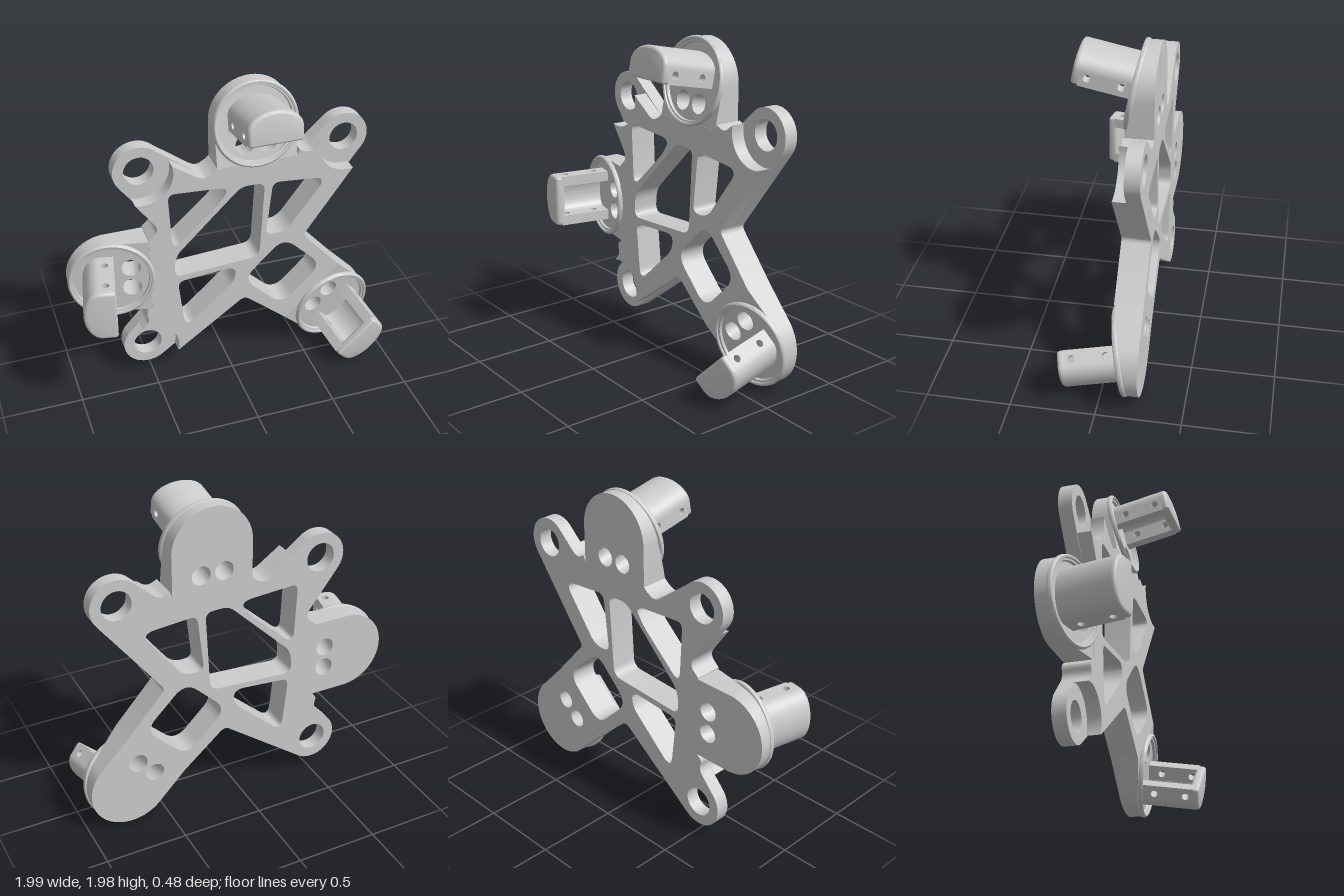
import * as THREE from 'three';
import { toCreasedNormals } from 'three/addons/utils/BufferGeometryUtils.js';

const material = new THREE.MeshStandardMaterial({ color: 0xcccccc });
const TILT = 0.2, SLOPE = Math.tan(TILT);
const BACK = -0.24, STEP = -0.155, FRONT = -0.07;

function mesh(name, geometry, crease = 0.6) {
  const m = new THREE.Mesh(toCreasedNormals(geometry, crease), material);
  m.name = name;
  return m;
}

// closed outline from [x, y, cornerRadius] points
function rounded(points, Type = THREE.Shape) {
  const path = new Type(), n = points.length;
  points.forEach(([x, y, r = 0], i) => {
    const p = new THREE.Vector2(x, y);
    const toward = (q) => {
      const d = new THREE.Vector2(q[0], q[1]).sub(p), l = d.length();
      return p.clone().addScaledVector(d, Math.min(r, l * 0.48) / l);
    };
    const a = toward(points[(i + n - 1) % n]), b = toward(points[(i + 1) % n]);
    if (i === 0) path.moveTo(a.x, a.y); else path.lineTo(a.x, a.y);
    if (r > 0) path.quadraticCurveTo(x, y, b.x, b.y);
  });
  path.closePath();
  return path;
}

// points along an arc, angles in degrees
function arc([cx, cy], r, from, to, steps = 20) {
  return Array.from({ length: steps + 1 }, (_, i) => {
    const a = THREE.MathUtils.degToRad(from + (to - from) * i / steps);
    return [cx + r * Math.cos(a), cy + r * Math.sin(a)];
  });
}

function circle(x, y, r) {
  return new THREE.Path().absarc(x, y, r, 0, Math.PI * 2, true);
}

function extrude(shape, z0, z1, options = {}) {
  const g = new THREE.ExtrudeGeometry(shape, { depth: z1 - z0, bevelEnabled: false, curveSegments: 20, ...options });
  return g.translate(0, 0, z0);
}

const ears = [[-0.52, 1.52], [0.76, 1.52], [-0.52, 0.24]];

// weight-saving openings
const windows = () => [
  [[-0.375, 1.38, 0.05], [0.01, 1.355, 0.09], [-0.06, 1.25, 0.05], [-0.355, 0.98, 0.08]],
  [[0.08, 1.345, 0.05], [0.228, 1.34, 0.05], [0.2, 0.81, 0.06], [-0.35, 0.775, 0.06], [-0.34, 0.93, 0.06]],
  [[0.28, 1.335, 0.05], [0.63, 1.305, 0.09], [0.37, 0.96, 0.07], [0.24, 0.96, 0.05]],
  [[-0.33, 0.735, 0.05], [0.045, 0.765, 0.07], [0.04, 0.66, 0.06], [-0.29, 0.36, 0.09]],
  [[0.36, 0.91, 0.1], [0.625, 0.65, 0.1], [0.36, 0.39, 0.1], [0.095, 0.65, 0.1]],
].map((p) => rounded(p, THREE.Path));

// plate outline; the ear borders are supplied by the caller
function plateShape(ear1, ear3, ear2) {
  const shape = rounded([
    [0.43, 1.495], [-0.07, 1.495], [-0.1, 1.47, 0.02], [-0.16, 1.44, 0.06],
    ...ear1,
    [-0.43, 1.145, 0.06], [-0.5, 1.08], [-0.5, 0.57],
    [-0.54, 0.54, 0.03], [-0.52, 0.47, 0.04],
    ...ear3,
    [0.105, 0.515, 0.04], [0.384, 0.275], [0.744, 0.62], [0.49, 0.905, 0.03],
    ...ear2,
    [0.51, 1.5, 0.05], [0.445, 1.53],
  ]);
  shape.holes.push(...windows());
  return shape;
}

// D-shaped post with a hollow inner side, a closed tip and pin holes
function createPost() {
  const post = new THREE.Group();
  post.name = 'post';
  const w = 0.165, inner = -0.02, mid = 0.07, top = 0.305;

  const tip = new THREE.Shape();
  tip.moveTo(w, mid);
  tip.absellipse(0, mid, w, 0.105, 0, Math.PI, false);
  tip.lineTo(-w, inner + 0.02);
  tip.quadraticCurveTo(-w, inner, -w + 0.02, inner);
  tip.lineTo(w - 0.02, inner);
  tip.quadraticCurveTo(w, inner, w, inner + 0.02);
  post.add(mesh('postTip', extrude(tip, 0.305, 0.325,
    { bevelEnabled: true, bevelSize: 0.02, bevelOffset: -0.02, bevelThickness: 0.02, bevelSegments: 4 })));

  const back = new THREE.Shape();
  back.moveTo(w, mid);
  back.absellipse(0, mid, w, 0.105, 0, Math.PI, false);
  back.lineTo(-0.1, mid);
  back.absellipse(0, mid, 0.1, 0.05, Math.PI, 0, true);
  post.add(mesh('postBack', extrude(back, -0.03, top)));

  const turn = new THREE.Matrix4().makeBasis(
    new THREE.Vector3(0, 1, 0), new THREE.Vector3(0, 0, 1), new THREE.Vector3(1, 0, 0));
  for (const v of [-w, 0.1]) {
    const wall = rounded([[inner, -0.03], [mid, -0.03], [mid, top], [inner, top]]);
    wall.holes.push(circle(0.035, 0.065, 0.022), circle(0.035, 0.26, 0.022));
    post.add(mesh('postWall', extrude(wall, v, v + w - 0.1).applyMatrix4(turn)));
  }
  return post;
}

// tilted socket: local +y points away from the plate
function createPod(x, y, angle) {
  const pod = new THREE.Group();
  pod.name = 'pod';
  pod.position.set(x, y, 0);
  pod.rotation.z = angle;

  // wedge-shaped base with two sheared through holes
  const r = 0.25, u0 = -0.135;
  const lobe = new THREE.Shape();
  lobe.moveTo(-r, -0.245);
  lobe.lineTo(r, -0.245);
  lobe.absarc(0, 0, r, 0, Math.PI, false);
  for (const v of [-0.072, 0.072]) lobe.holes.push(circle(v, u0, 0.058));
  const base = extrude(lobe, BACK, FRONT, { curveSegments: 32 });
  const p = base.attributes.position;
  for (let i = 0; i < p.count; i++) {
    const u = p.getY(i), isFront = p.getZ(i) > STEP;
    const inHole = Math.hypot(Math.abs(p.getX(i)) - 0.072, u - u0) < 0.06;
    const y2 = inHole ? u + (isFront ? 0.012 : -0.018) : u;
    p.setY(i, y2);
    if (isFront) p.setZ(i, -0.12 - y2 * SLOPE);
  }
  pod.add(mesh('podBase', base));

  // raised rim and post share the tilt
  const head = new THREE.Group();
  head.name = 'podHead';
  head.position.z = -0.1;
  head.rotation.x = -TILT;
  const profile = [[0.225, -0.025], [0.23, -0.004], [0.242, -0.002], [0.244, 0.008], [0.254, 0.01],
    [0.262, 0.004], [0.265, -0.006], [0.262, -0.018], [0.25, -0.026], [0.225, -0.025]];
  const rim = new THREE.LatheGeometry(profile.map(([a, b]) => new THREE.Vector2(a, -b)), 64);
  rim.rotateX(-Math.PI / 2);
  head.add(mesh('podRim', rim, 0.7));
  head.children[0].material = material.clone();
  head.children[0].material.side = THREE.DoubleSide;
  head.add(createPost());
  pod.add(head);
  return pod;
}

export function createModel() {
  const model = new THREE.Group();
  model.name = 'bracket';

  // thin back layer with the three mounting ears
  const R = 0.155;
  const baseShape = plateShape(
    arc(ears[0], R, 45, 218), arc(ears[2], R, 142, 307), arc(ears[1], R, -38, 137));
  for (const [x, y] of ears) baseShape.holes.push(circle(x, y, 0.09));
  model.add(mesh('backPlate', extrude(baseShape, BACK, STEP)));

  // thick front layer, cut back around the ears
  const C = 0.185;
  const frontShape = plateShape(
    arc(ears[0], C, 14, -106), arc(ears[2], C, 106, -16), arc(ears[1], C, -78, -190));
  model.add(mesh('frontPlate', extrude(frontShape, STEP, FRONT)));

  // three sockets facing outwards
  model.add(createPod(0.18, 1.735, 0));
  model.add(createPod(-0.735, 0.82, Math.PI / 2));
  model.add(createPod(0.73, 0.275, -Math.PI * 0.756));
  return model;
}
